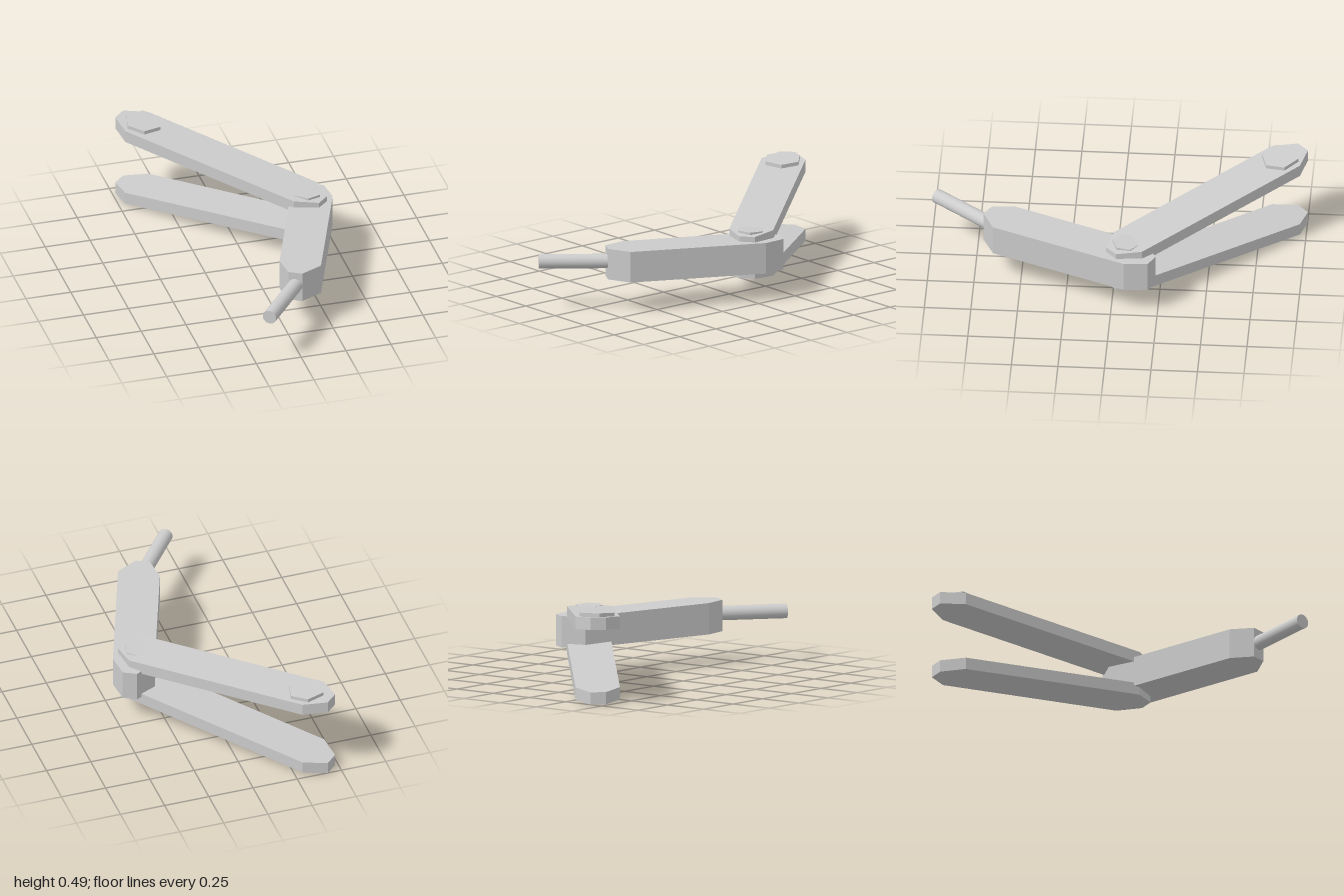
import * as THREE from 'three';

const grey = new THREE.MeshStandardMaterial({ color: 0xcccccc, flatShading: true });
const smoothGrey = new THREE.MeshStandardMaterial({ color: 0xcccccc });

// Half an outline [x, z]; the other half is its half-turn about the centre
function halfTurn(half, [cx, cz]) {
  return half.concat(half.map(([x, z]) => [2 * cx - x, 2 * cz - z]));
}

// Regular hexagon in plan
function hexagon([cx, cz], radius, turn) {
  return Array.from({ length: 6 }, (_, i) => {
    const a = turn + i * Math.PI / 3;
    return [cx + radius * Math.cos(a), cz + radius * Math.sin(a)];
  });
}

// Flat prism from a plan outline; its base height follows baseY(x, z)
function slab(name, outline, thickness, baseY) {
  const shape = new THREE.Shape(outline.map(([x, z]) => new THREE.Vector2(x, -z)));
  const geo = new THREE.ExtrudeGeometry(shape, { depth: thickness, bevelEnabled: false });
  geo.rotateX(-Math.PI / 2);
  const p = geo.attributes.position;
  for (let i = 0; i < p.count; i++) p.setY(i, p.getY(i) + baseY(p.getX(i), p.getZ(i)));
  geo.computeVertexNormals();
  const mesh = new THREE.Mesh(geo, grey);
  mesh.name = name;
  return mesh;
}

// Height of a plane tilted along the plan direction [ux, uz]
function tilted(y, slope, [cx, cz], [ux, uz]) {
  return (x, z) => y + slope * ((x - cx) * ux + (z - cz) * uz);
}

export function createModel() {
  const group = new THREE.Group();

  // Thick front arm with chamfered ends
  const armCentre = [0.245, 0.236];
  const armAxis = [-0.35, 0.936];
  const armOutline = halfTurn([[0.01, 0.54], [0.022, 0.67], [0.09, 0.708], [0.21, 0.65]], armCentre);
  group.add(slab('frontArm', armOutline, 0.17, tilted(0.16, 0.022, armCentre, armAxis)));

  // Rod leaving the front end of the arm
  const tip = new THREE.Vector3(-0.17, 0.263, 0.976);
  const root = new THREE.Vector3(0.1, 0.263, 0.632);
  const dir = root.clone().sub(tip);
  const rod = new THREE.Mesh(new THREE.CylinderGeometry(0.039, 0.039, dir.length(), 32), smoothGrey);
  rod.position.copy(tip).add(root).multiplyScalar(0.5);
  rod.quaternion.setFromUnitVectors(new THREE.Vector3(0, 1, 0), dir.normalize());
  rod.name = 'rod';
  group.add(rod);

  // Pair of rear arms, spreading apart towards the back
  const rearCentre = [-0.023, -0.485];
  const rearAxis = [0.66, 0.75];
  const rearOutline = halfTurn(
    [[0.246, -0.003], [0.376, 0.032], [0.437, -0.026], [0.421, -0.164]], rearCentre);
  const upperTop = tilted(0.413, -0.092, rearCentre, rearAxis);
  const lowerBase = tilted(0.061, 0.092, rearCentre, rearAxis);
  group.add(slab('upperRearArm', rearOutline, 0.067, (x, z) => upperTop(x, z) - 0.067));
  group.add(slab('lowerRearArm', rearOutline, 0.067, lowerBase));

  // Hexagonal end cap, lying on the upper arm
  group.add(slab('endBolt', hexagon([-0.35, -0.857], 0.102, -0.29), 0.04,
    (x, z) => upperTop(x, z) - 0.02));

  // Hexagonal pivot, level with the front arm
  const pivot = [0.34, -0.075];
  group.add(slab('pivotBolt', hexagon(pivot, 0.076, -0.32), 0.15,
    tilted(0.218, 0.022, pivot, armAxis)));

  return group;
}
